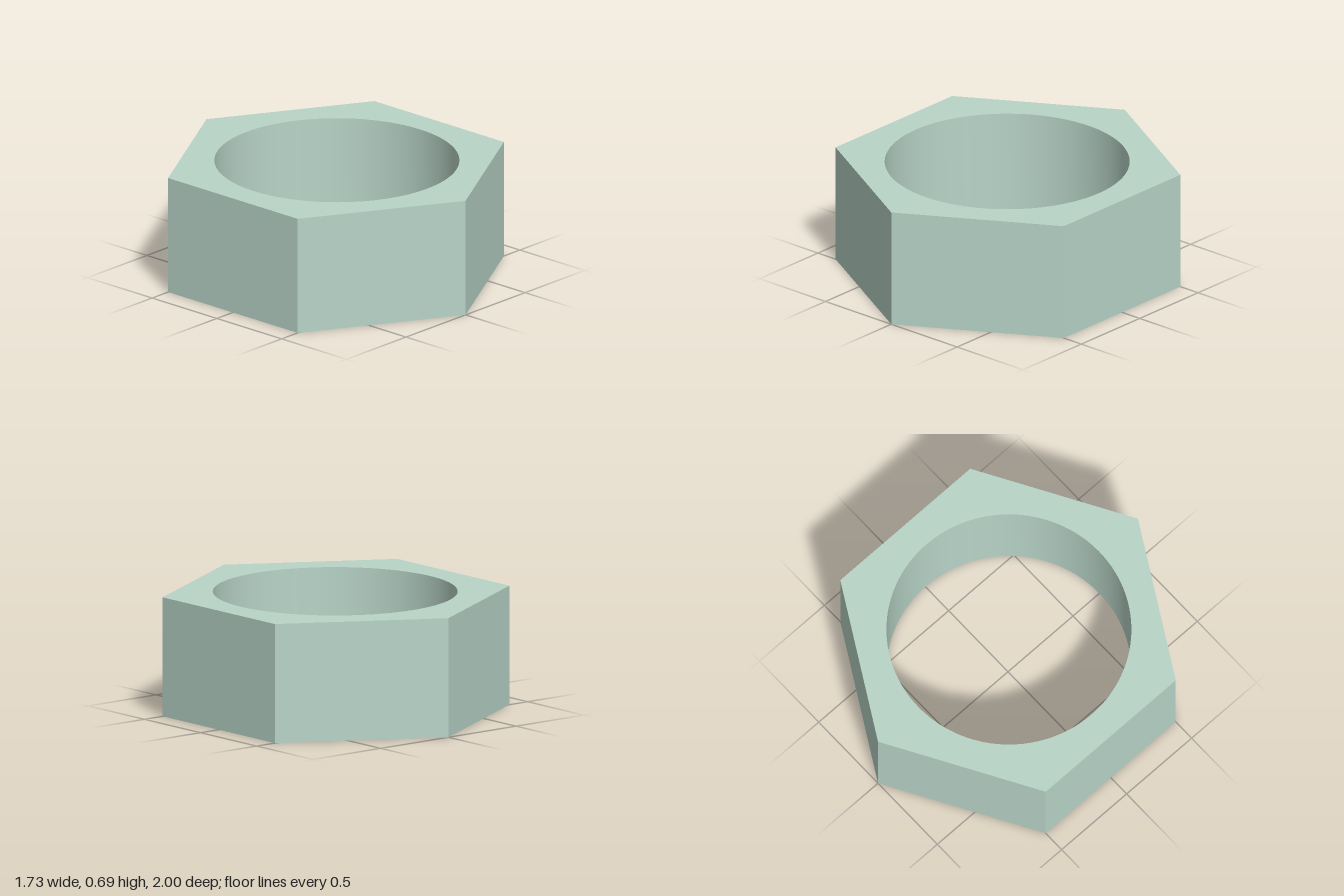
import * as THREE from 'three';
import { toCreasedNormals } from 'three/addons/utils/BufferGeometryUtils.js';

const HEIGHT = 0.69;
const HOLE_RADIUS = 0.696;
const HOLE_OFFSET = 0.007; // the bore sits slightly towards the front

export function createModel() {
  const group = new THREE.Group();
  group.name = 'hexNut';

  // Hexagonal outline with corners at front and back (shape y becomes -z)
  const outline = new THREE.Shape();
  const corners = [];
  for (let i = 0; i < 6; i++) {
    const a = Math.PI / 2 + (i * Math.PI) / 3;
    corners.push(new THREE.Vector2(Math.cos(a), Math.sin(a)));
  }
  outline.setFromPoints(corners);

  // Round bore through the middle
  const bore = new THREE.Path();
  bore.absarc(0, -HOLE_OFFSET, HOLE_RADIUS, 0, Math.PI * 2, true);
  outline.holes.push(bore);

  // Extrude upwards, smooth the bore and keep the outer edges sharp
  const extruded = new THREE.ExtrudeGeometry(outline, {
    depth: HEIGHT,
    bevelEnabled: false,
    curveSegments: 96,
  });
  extruded.rotateX(-Math.PI / 2);

  const nut = new THREE.Mesh(
    toCreasedNormals(extruded, Math.PI / 6),
    new THREE.MeshStandardMaterial({ color: 0xb8d4c8 })
  );
  nut.name = 'nutBody';
  group.add(nut);
  return group;
}
